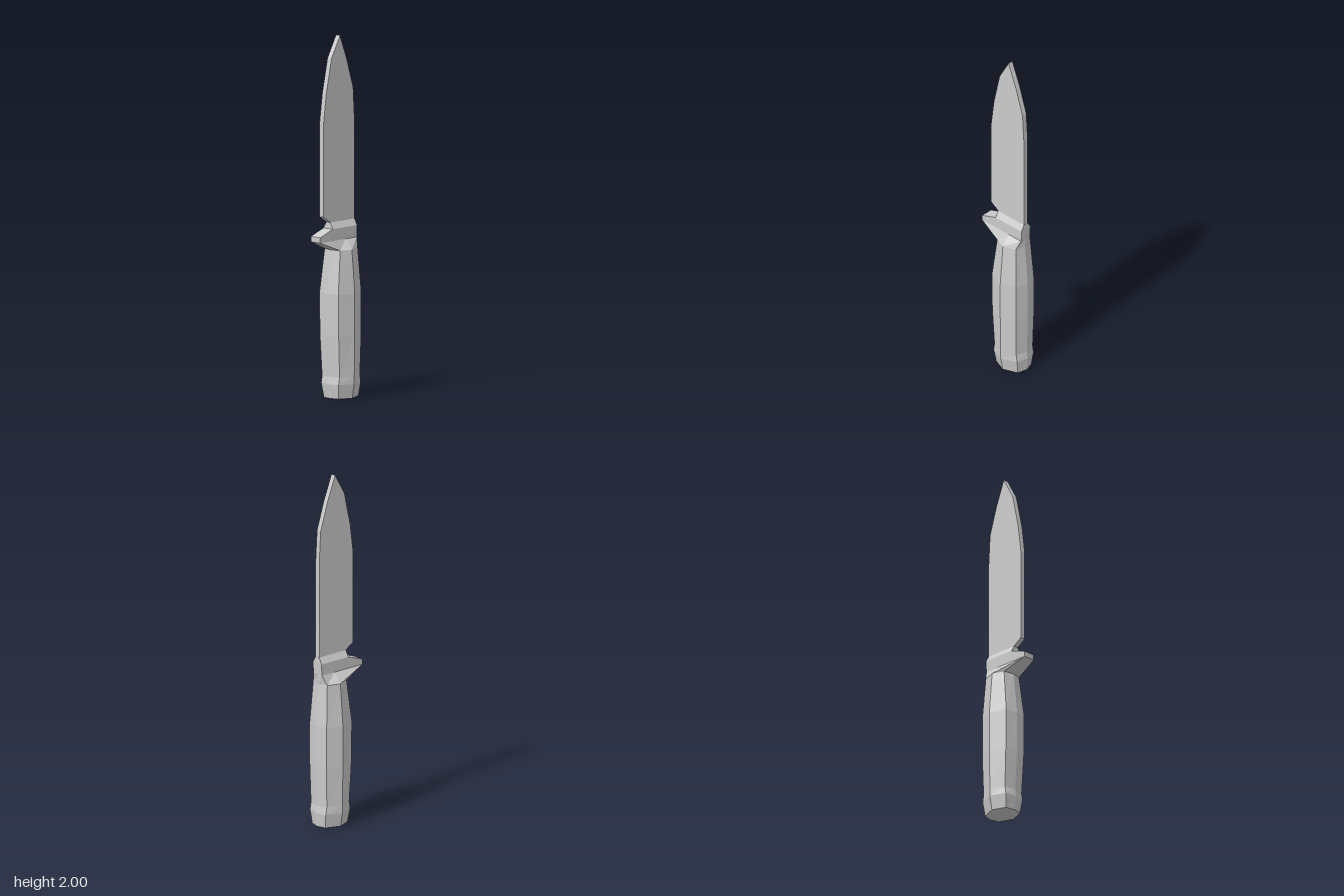
import * as THREE from 'three';

const material = new THREE.MeshStandardMaterial({ color: 0xcccccc, flatShading: true, side: THREE.DoubleSide });

// Eight-sided ring, mirrored in x: front centre, front edge, widest side, back edge, back centre
function ring([y, edge, wide, zFront, zFrontEdge, zBackEdge, zBack, zWide = -0.047]) {
  return [
    [0, y, zFront], [edge, y, zFrontEdge], [wide, y, zWide], [edge, y, zBackEdge],
    [0, y, zBack], [-edge, y, zBackEdge], [-wide, y, zWide], [-edge, y, zFrontEdge],
  ];
}

// Joins rings from bottom to top, closing both ends
function loft(name, sections) {
  const rings = sections.map(ring);
  const n = rings[0].length;
  const index = [];
  const last = (rings.length - 1) * n;
  for (let r = 0; r < rings.length - 1; r++) {
    for (let i = 0; i < n; i++) {
      const a = r * n + i, b = r * n + (i + 1) % n;
      index.push(a, b, b + n, a, b + n, a + n);
    }
  }
  for (let i = 1; i < n - 1; i++) {
    index.push(0, i + 1, i);
    index.push(last, last + i, last + i + 1);
  }
  const indexed = new THREE.BufferGeometry();
  indexed.setAttribute('position', new THREE.Float32BufferAttribute(rings.flat(2), 3));
  indexed.setIndex(index);
  const geometry = indexed.toNonIndexed();
  geometry.computeVertexNormals();
  const mesh = new THREE.Mesh(geometry, material);
  mesh.name = name;
  return mesh;
}

// Flat blade cut from its side outline, given as [z, y]
function makeBlade() {
  const outline = [
    [-0.14, 0.96], [-0.14, 1.53], [-0.13, 1.70], [-0.08, 1.86], [-0.025, 2.0],
    [0.043, 1.88], [0.085, 1.69], [0.106, 1.53], [0.106, 1.01], [0.053, 0.975], [0.053, 0.96],
  ];
  const shape = new THREE.Shape(outline.map(([z, y]) => new THREE.Vector2(z, y)));
  const geometry = new THREE.ExtrudeGeometry(shape, { depth: 0.03, bevelEnabled: false });
  geometry.translate(0, 0, -0.015);
  geometry.rotateY(-Math.PI / 2);
  const mesh = new THREE.Mesh(geometry, material);
  mesh.name = 'blade';
  return mesh;
}

export function createModel() {
  const group = new THREE.Group();
  group.name = 'knife';

  // Faceted grip, swelling in the middle, with a flared pommel
  const top = [0.82, 0.058, 0.083, 0.035, 0.02, -0.12, -0.135];
  group.add(loft('handle', [
    [0, 0.054, 0.085, 0.042, 0.03, -0.13, -0.145],
    [0.08, 0.065, 0.1, 0.053, 0.04, -0.137, -0.154],
    [0.12, 0.065, 0.1, 0.048, 0.033, -0.13, -0.148],
    [0.35, 0.07, 0.104, 0.062, 0.045, -0.135, -0.155],
    [0.58, 0.07, 0.104, 0.063, 0.048, -0.135, -0.155],
    top,
  ]));

  // Finger guard: narrows from the grip, juts to the front, then tapers to the blade
  group.add(loft('guard', [
    top,
    [0.875, 0.035, 0.035, 0.155, 0.155, -0.138, -0.138],
    [0.905, 0.035, 0.035, 0.155, 0.155, -0.14, -0.14],
    [0.94, 0.035, 0.035, 0.054, 0.054, -0.141, -0.141],
    [0.975, 0.015, 0.015, 0.053, 0.053, -0.141, -0.141],
  ]));

  group.add(makeBlade());
  return group;
}
